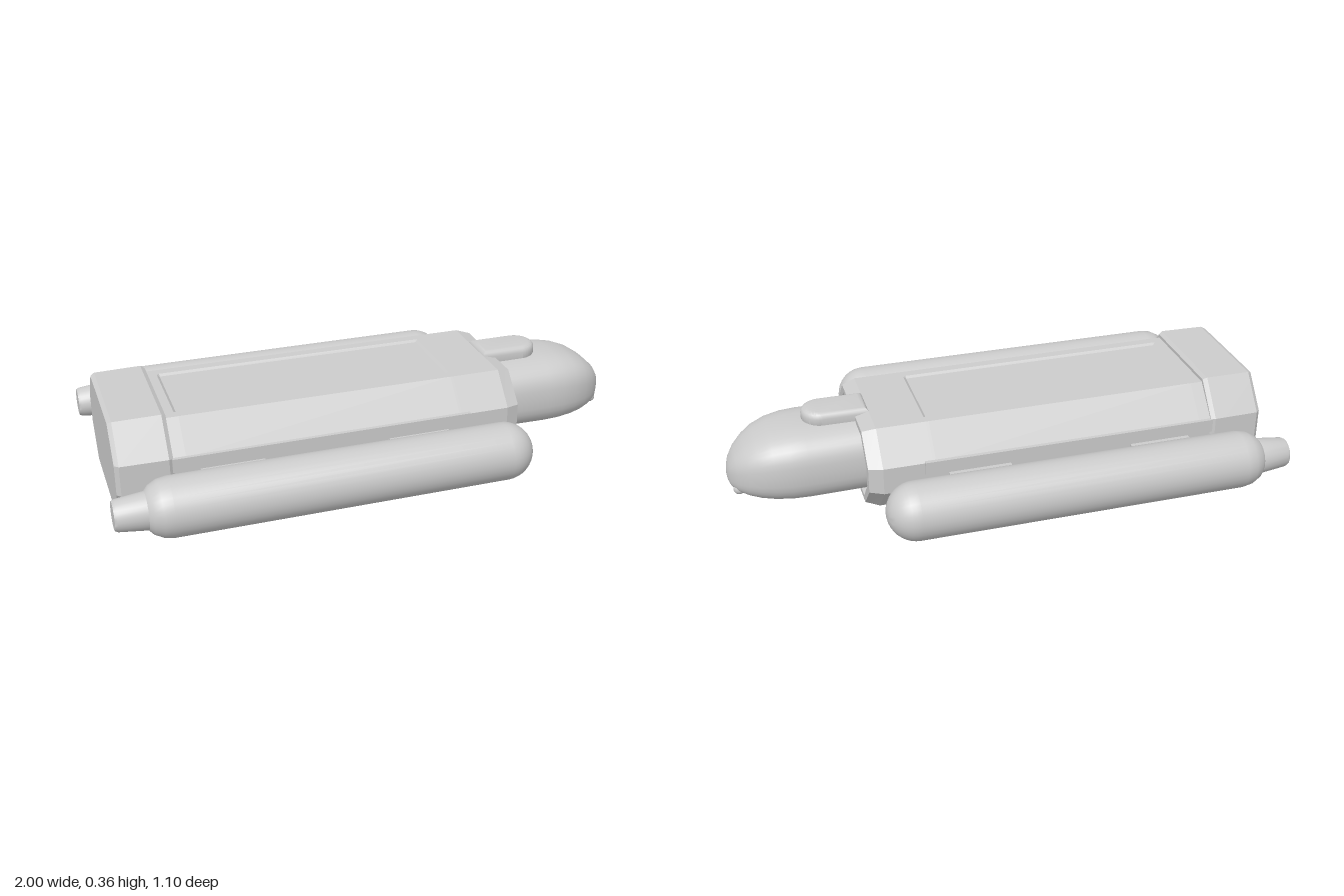
import * as THREE from 'three';
import { toCreasedNormals } from 'three/addons/utils/BufferGeometryUtils.js';

const material = new THREE.MeshStandardMaterial({ color: 0xcccccc });

function add(parent, name, geometry, x = 0, y = 0, z = 0) {
  const mesh = new THREE.Mesh(geometry, material);
  mesh.name = name;
  mesh.position.set(x, y, z);
  parent.add(mesh);
  return mesh;
}

// Skin closed rings (lists of [x, y, z]) that follow each other along x, capped at both ends
function loft(rings, crease) {
  const n = rings[0].length, last = rings.length - 1;
  const pos = rings.flat(2), index = [];
  for (let i = 0; i < last; i++) {
    for (let j = 0; j < n; j++) {
      const k = (j + 1) % n;
      const a = i * n + j, b = i * n + k, c = b + n, d = a + n;
      index.push(a, b, d, b, c, d);
    }
  }
  for (const r of [0, last]) {
    const centre = pos.length / 3;
    for (let c = 0; c < 3; c++) pos.push(rings[r].reduce((s, p) => s + p[c], 0) / n);
    for (let j = 0; j < n; j++) {
      const a = r * n + j, b = r * n + (j + 1) % n;
      index.push(...(r ? [centre, a, b] : [centre, b, a]));
    }
  }
  const g = new THREE.BufferGeometry();
  g.setAttribute('position', new THREE.Float32BufferAttribute(pos, 3));
  g.setIndex(index);
  return toCreasedNormals(g, crease);
}

// Octagonal hull section; dip sinks a panel into the top
function octagon(x, lo, hi, side, flat, chamfer, dip = 0) {
  const panel = Math.min(0.165, flat * 0.85);
  const half = [
    [x, hi - dip, panel - 0.008], [x, hi, panel], [x, hi, flat],
    [x, hi - chamfer, side], [x, lo + chamfer, side], [x, lo, flat],
  ];
  return [...half, ...half.slice().reverse().map(([px, y, z]) => [px, y, -z])];
}

// Rounded cabin section
function roundedRing(x, lo, hi, halfWidth, n = 40) {
  const power = (v) => Math.sign(v) * Math.pow(Math.abs(v), 0.72);
  return Array.from({ length: n }, (_, i) => {
    const a = (i / n) * Math.PI * 2;
    return [x, (lo + hi) / 2 + power(Math.cos(a)) * (hi - lo) / 2, power(Math.sin(a)) * halfWidth];
  });
}

export function createModel() {
  const model = new THREE.Group();
  model.name = 'vehicle';

  // Main hull with sunken top panel and recessed front face
  add(model, 'hull', loft([
    octagon(-0.78, 0.02, 0.343, 0.3, 0.2, 0.11),
    octagon(-0.73, 0.02, 0.343, 0.3, 0.2, 0.11),
    octagon(-0.72, 0.02, 0.343, 0.3, 0.2, 0.11, 0.008),
    octagon(0.29, 0.02, 0.341, 0.3, 0.2, 0.11, 0.008),
    octagon(0.3, 0.02, 0.341, 0.3, 0.2, 0.11),
    octagon(0.48, 0.02, 0.341, 0.3, 0.2, 0.11),
    octagon(0.53, 0.035, 0.328, 0.282, 0.185, 0.1),
    octagon(0.53, 0.055, 0.305, 0.245, 0.17, 0.085),
    octagon(0.5, 0.075, 0.285, 0.215, 0.15, 0.07),
  ], 0.2));

  // Larger tail block
  add(model, 'tailBlock', loft([
    octagon(-0.965, 0.012, 0.355, 0.295, 0.2, 0.115),
    octagon(-0.95, 0.004, 0.362, 0.308, 0.21, 0.122),
    octagon(-0.78, 0.002, 0.364, 0.312, 0.212, 0.124),
    octagon(-0.765, 0.012, 0.355, 0.302, 0.205, 0.118),
  ], 0.2));

  // Cabin with rounded nose: x, bottom, top, half width
  add(model, 'cabin', loft([
    [0.48, 0.038, 0.313, 0.178], [0.72, 0.036, 0.314, 0.181], [0.78, 0.037, 0.311, 0.178],
    [0.84, 0.042, 0.3, 0.166], [0.89, 0.05, 0.281, 0.147], [0.93, 0.06, 0.255, 0.122],
    [0.965, 0.073, 0.222, 0.089], [0.988, 0.09, 0.188, 0.053], [0.997, 0.11, 0.16, 0.025],
    [1, 0.132, 0.138, 0.003],
  ].map((s) => roundedRing(...s)), 1));

  // Rounded hatch on the cabin roof
  const outline = new THREE.Shape();
  outline.moveTo(0.5, -0.048);
  outline.lineTo(0.645, -0.048);
  outline.absarc(0.645, 0, 0.048, -Math.PI / 2, Math.PI / 2, false);
  outline.lineTo(0.5, 0.048);
  const hatch = new THREE.ExtrudeGeometry(outline, {
    depth: 0.025, bevelThickness: 0.022, bevelSize: 0.022, bevelSegments: 4, curveSegments: 20,
  });
  hatch.rotateX(-Math.PI / 2);
  add(model, 'roofHatch', toCreasedNormals(hatch, 0.7), 0, 0.308, 0);

  // Side tank profile: radius, distance from the tail end
  const profile = [[0, 0], [0.05, 0], [0.055, 0.01], [0.066, 0.11], [0.083, 0.125], [0.099, 0.155], [0.105, 0.19]];
  for (let i = 0; i <= 10; i++) {
    const a = (i / 10) * Math.PI / 2;
    profile.push([Math.cos(a) * 0.105, 1.4 + Math.sin(a) * 0.105]);
  }
  profile[profile.length - 1][0] = 0;
  const tank = new THREE.LatheGeometry(profile.map(([r, t]) => new THREE.Vector2(r, t)), 32);
  tank.rotateZ(-Math.PI / 2);
  const tankGeometry = toCreasedNormals(tank, 0.65);

  for (const [side, s] of [['left', 1], ['right', -1]]) {
    // "left" is the +z flank, "right" the -z flank, seen along the nose
    const flank = new THREE.Group();
    flank.name = s > 0 ? 'frontFlank' : 'backFlank';
    model.add(flank);
    add(flank, 'sideTank', tankGeometry, -1, 0.14, s * 0.447);
    for (const x of [-0.56, 0.13]) {
      add(flank, 'tankStrut', new THREE.BoxGeometry(0.23, 0.075, 0.1), x, 0.145, s * 0.325);
    }
    add(flank, 'sideRail', new THREE.BoxGeometry(1.1, 0.05, 0.02), -0.22, 0.212, s * 0.3);
    add(flank, 'noseLamp', new THREE.SphereGeometry(0.022, 20, 14), 0.962, 0.09, s * 0.05);
  }
  return model;
}
